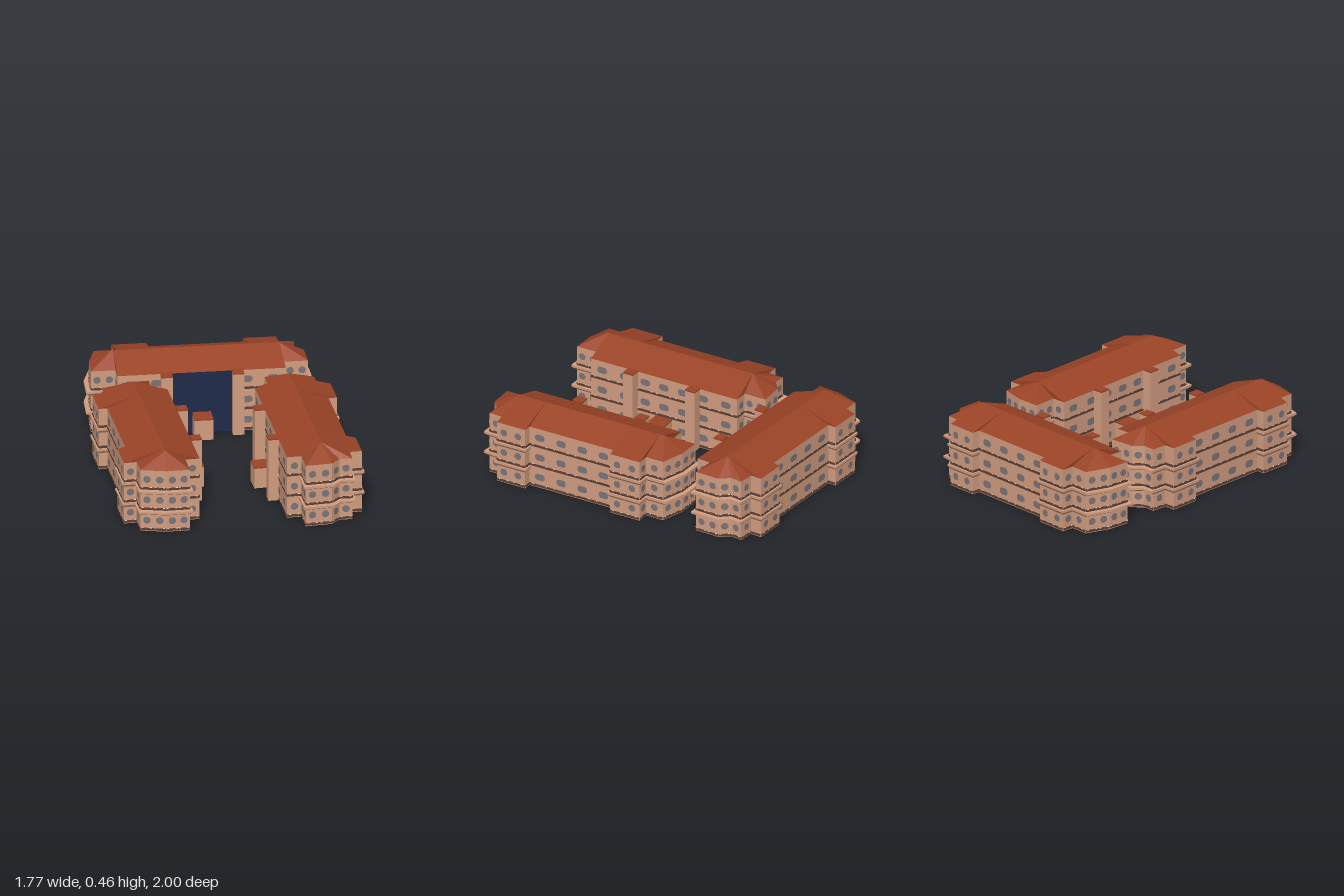
import * as THREE from 'three';
import { mergeGeometries } from 'three/addons/utils/BufferGeometryUtils.js';

const mat = (name, color) => {
  const m = new THREE.MeshStandardMaterial({ color, side: THREE.DoubleSide });
  m.name = name;
  return m;
};

const EAVE = 0.387, RIDGE_Y = 0.46, FLOOR = 0.13;
const RIDGE = { x: 0.02, z0: -0.48, z1: 0.505 };

// Floor plan of one wing: x, z, and how far the ledge sticks out on the wall starting here.
const PLAN = [
  [0.14, -0.635, 0.03], [-0.015, -0.63, 0.03], [-0.07, -0.58, 0.03], [-0.145, -0.585, 0.015],
  [-0.15, -0.49, 0.012], [-0.22, -0.49, 0.012], [-0.22, -0.3, 0.012], [-0.17, -0.3, 0],
  [-0.17, 0.275, 0.012], [-0.22, 0.275, 0.012], [-0.22, 0.475, 0.012], [-0.145, 0.475, 0.015],
  [-0.145, 0.59, 0.03], [0, 0.635, 0.03], [0.14, 0.64, 0.015], [0.14, 0.495, 0],
  [0.225, 0.495, 0], [0.225, 0.19, 0], [0.225, -0.19, 0], [0.225, -0.495, 0],
  [0.14, -0.495, 0.015],
];
const ENTRANCE_WALL = 17;

const EDGES = PLAN.map(([x, z, ledge], i) => {
  const [x2, z2] = PLAN[(i + 1) % PLAN.length];
  const len = Math.hypot(x2 - x, z2 - z);
  const dx = (x2 - x) / len, dz = (z2 - z) / len;
  // Wall frame: x along the wall, y up, z outward
  const frame = new THREE.Matrix4().makeBasis(
    new THREE.Vector3(dx, 0, dz), new THREE.Vector3(0, 1, 0), new THREE.Vector3(-dz, 0, dx)
  ).setPosition(x, 0, z);
  return { x, z, x2, z2, len, nx: -dz, nz: dx, ledge, frame };
});

// Mitred outer corner of the ledge at each plan point
const LEDGE = EDGES.map((e, i) => {
  const p = EDGES[(i + EDGES.length - 1) % EDGES.length];
  const det = p.nx * e.nz - p.nz * e.nx;
  if (Math.abs(det) < 0.01) return [e.x + e.nx * e.ledge, e.z + e.nz * e.ledge];
  return [e.x + (p.ledge * e.nz - e.ledge * p.nz) / det, e.z + (p.nx * e.ledge - e.nx * p.ledge) / det];
});

function facesToGeometry(positions) {
  const g = new THREE.BufferGeometry();
  g.setAttribute('position', new THREE.Float32BufferAttribute(positions, 3));
  g.computeVertexNormals();
  return g;
}
const quad = (out, a, b, c, d) => out.push(...a, ...b, ...c, ...a, ...c, ...d);

function roofGeometry() {
  const out = [];
  const top = (z) => [RIDGE.x, RIDGE_Y, THREE.MathUtils.clamp(z, RIDGE.z0, RIDGE.z1)];
  for (const e of EDGES) {
    quad(out, [e.x, EAVE, e.z], [e.x2, EAVE, e.z2], top(e.z2), top(e.z));
  }
  return facesToGeometry(out);
}

function ledgeGeometry() {
  const out = [];
  EDGES.forEach((e, i) => {
    if (!e.ledge) return;
    const [ax, az] = LEDGE[i], [bx, bz] = LEDGE[(i + 1) % LEDGE.length];
    for (const y of [FLOOR + 0.004, 2 * FLOOR + 0.004]) {
      const a = [[e.x, y - 0.03, e.z], [ax, y - 0.014, az], [ax, y, az], [e.x, y, e.z]];
      const b = [[e.x2, y - 0.03, e.z2], [bx, y - 0.014, bz], [bx, y, bz], [e.x2, y, e.z2]];
      for (let k = 0; k < 3; k++) quad(out, a[k], b[k], b[k + 1], a[k + 1]);
    }
  });
  return facesToGeometry(out);
}

// Window pane with cut corners
function paneGeometry(w, h) {
  const c = 0.012, x = w / 2, y = h / 2;
  const pts = [[-x + c, -y], [x - c, -y], [x, -y + c], [x, y - c], [x - c, y], [-x + c, y], [-x, y - c], [-x, -y + c]];
  return new THREE.ShapeGeometry(new THREE.Shape(pts.map((p) => new THREE.Vector2(...p))));
}

function createWing(name, materials, hasGlassFront) {
  const wing = new THREE.Group();
  wing.name = name;
  const add = (part, geometry, material) => {
    const m = new THREE.Mesh(geometry, material);
    m.name = part;
    wing.add(m);
  };
  const walls = [], panes = [], bands = [], sills = [];

  EDGES.forEach((e, i) => {
    const place = (list, g, x, y, z) => list.push(g.translate(x, y, z).applyMatrix4(e.frame));
    if (i === ENTRANCE_WALL && hasGlassFront) {
      const glass = [];
      place(glass, new THREE.PlaneGeometry(e.len, EAVE), e.len / 2, EAVE / 2, 0);
      add('glassFront', glass[0], materials.glass);
      return;
    }
    place(walls, new THREE.PlaneGeometry(e.len, EAVE), e.len / 2, EAVE / 2, 0);
    const long = e.len > 0.25;
    const count = e.len < 0.073 ? 0 : Math.max(1, Math.round(e.len / (long ? 0.145 : 0.085)));
    for (let f = 0; f < 3; f++) {
      const y = f * FLOOR;
      place(bands, new THREE.PlaneGeometry(e.len, 0.016), e.len / 2, y + 0.013, 0.003);
      for (let k = 0; k < count; k++) {
        const x = (e.len * (k + 0.5)) / count;
        // Panes show on both faces of the thin wall
        for (const z of [0.003, -0.003]) place(panes, paneGeometry(long ? 0.064 : 0.042, 0.042), x, y + 0.07, z);
        for (const s of [-1, 1]) {
          place(sills, new THREE.PlaneGeometry(0.012, 0.005), x + s * (long ? 0.045 : 0.026), y + 0.021, 0.005);
        }
      }
    }
  });
  add('walls', mergeGeometries(walls), materials.wall);
  add('windows', mergeGeometries(panes), materials.window);
  add('floorBands', mergeGeometries(bands), materials.band);
  add('railingPieces', mergeGeometries(sills), materials.trim);
  add('ledges', ledgeGeometry(), materials.wall);
  add('roof', roofGeometry(), materials.roof);

  // Courtyard pillars and the low entrance porch, each with a tiled cap
  const block = (part, z, width, reach, height) => {
    const depth = reach - 0.225, x = 0.225 + depth / 2;
    add(part, new THREE.BoxGeometry(depth, height, width).translate(x, height / 2, z), materials.wall);
    add(part + 'Cap', new THREE.BoxGeometry(depth, 0.008, width).translate(x, height + 0.004, z), materials.roof);
  };
  for (const z of [-0.21, 0.21]) block('pillar', z, 0.066, 0.287, EAVE);
  block('porch', 0, 0.11, 0.335, 0.125);
  return wing;
}

export function createModel() {
  const materials = {
    wall: mat('tan wall', 0xd29d80),
    roof: mat('red brown roof', 0x9a4326),
    window: mat('grey window', 0x7a7478),
    band: mat('dark brown band', 0x5e4034),
    trim: mat('off white trim', 0xe8e4e0),
    glass: mat('navy glass', 0x1e2a4a),
  };
  const model = new THREE.Group();
  model.name = 'courtyardBuildings';
  const turn = 0.302;
  const wings = [
    ['backWing', -0.235, -0.663, turn - 1.64, true],
    ['rightWing', -0.422, 0.36, turn, false],
    ['leftWing', 0.513, 0.153, turn + Math.PI, false],
  ];
  for (const [name, x, z, angle, glass] of wings) {
    const wing = createWing(name, materials, glass);
    wing.position.set(x, 0, z);
    wing.rotation.y = angle;
    model.add(wing);
  }
  return model;
}
